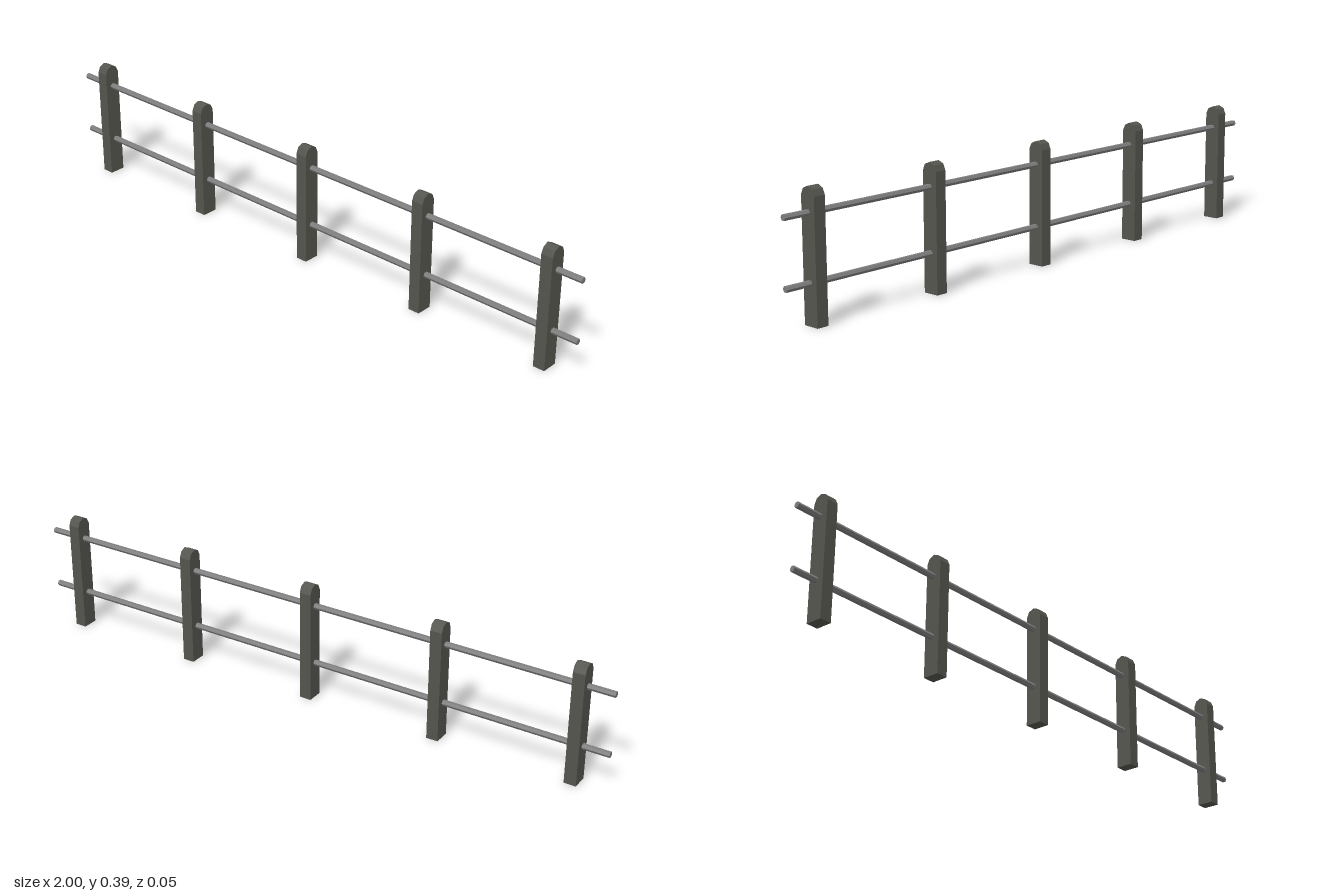
import * as THREE from 'three';

const POST_WIDTH = 0.038;
const POST_SPACING = 0.448;
const RAIL_HEIGHTS = [0.121, 0.315];

export function createModel() {
  const fence = new THREE.Group();
  fence.name = 'fence';

  const postMaterial = new THREE.MeshStandardMaterial({ color: 0x55554f, flatShading: true });
  postMaterial.name = 'dark weathered post';
  const railMaterial = new THREE.MeshStandardMaterial({ color: 0x7e7e7e, flatShading: true });
  railMaterial.name = 'grey metal rail';

  // Post side profile with a faceted, rounded top, extruded along x
  const profile = new THREE.Shape([
    [-0.026, 0], [0.026, 0], [0.026, 0.361], [0.018, 0.379],
    [0, 0.387], [-0.018, 0.379], [-0.026, 0.361],
  ].map(([z, y]) => new THREE.Vector2(z, y)));
  const postGeometry = new THREE.ExtrudeGeometry(profile, { depth: POST_WIDTH, bevelEnabled: false });
  postGeometry.translate(0, 0, -POST_WIDTH / 2).rotateY(Math.PI / 2);

  for (let i = -2; i <= 2; i++) {
    const post = new THREE.Mesh(postGeometry, postMaterial);
    post.name = `post${i + 3}`;
    post.position.x = i * POST_SPACING;
    fence.add(post);
  }

  // Hexagonal rails running the full length through the posts
  const railGeometry = new THREE.CylinderGeometry(0.0095, 0.0095, 2, 6).rotateZ(Math.PI / 2);
  RAIL_HEIGHTS.forEach((y, i) => {
    const rail = new THREE.Mesh(railGeometry, railMaterial);
    rail.name = i === 0 ? 'lowerRail' : 'upperRail';
    rail.position.y = y;
    fence.add(rail);
  });

  return fence;
}
